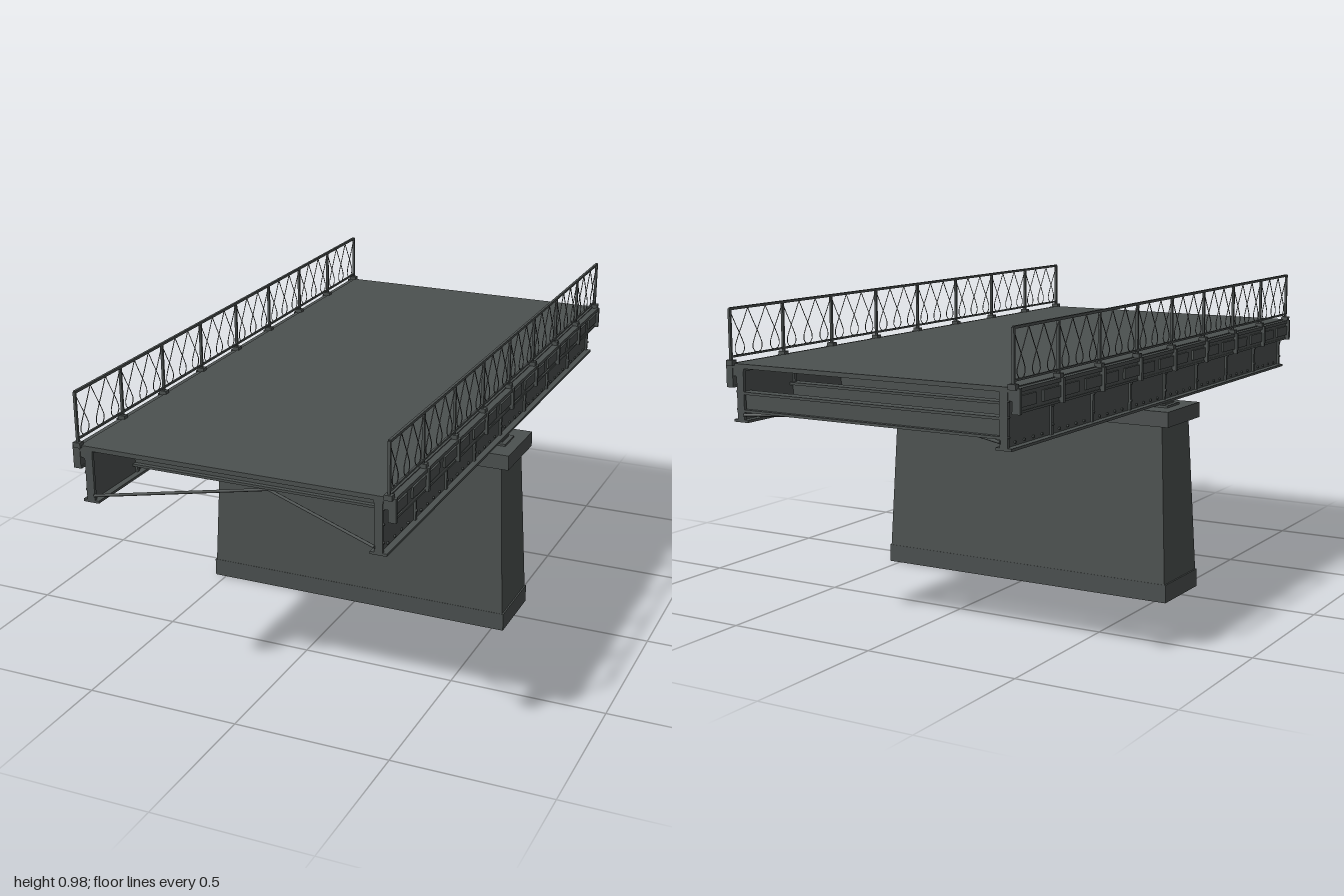
import * as THREE from 'three';

const steel = new THREE.MeshStandardMaterial({ color: 0x4c5150 });
steel.name = 'dark grey';

const END = 0.99;          // half length of the span
const BAY = END / 4;       // distance between posts
const UP = new THREE.Vector3(0, 1, 0);

function add(parent, name, geometry) {
  const mesh = new THREE.Mesh(geometry, steel);
  mesh.name = name;
  parent.add(mesh);
  return mesh;
}

// Box given by its limits on each axis
function box(parent, name, x0, x1, y0, y1, z0, z1) {
  const mesh = add(parent, name, new THREE.BoxGeometry(x1 - x0, y1 - y0, z1 - z0));
  mesh.position.set((x0 + x1) / 2, (y0 + y1) / 2, (z0 + z1) / 2);
  return mesh;
}

// Straight round bar between two points
function bar(parent, name, a, b, radius) {
  const dir = b.clone().sub(a);
  const mesh = add(parent, name, new THREE.CylinderGeometry(radius, radius, dir.length(), 6));
  mesh.position.copy(a).add(b).multiplyScalar(0.5);
  mesh.quaternion.setFromUnitVectors(UP, dir.normalize());
  return mesh;
}

// Stone pier: plinth, tapered shaft and cap
function makePier() {
  const pier = new THREE.Group();
  pier.name = 'pier';
  box(pier, 'plinth', -0.54, 0.54, 0, 0.06, -0.12, 0.12);
  const shaft = new THREE.BoxGeometry(1, 0.515, 1);
  const p = shaft.attributes.position;
  for (let i = 0; i < p.count; i++) {
    const top = p.getY(i) > 0;
    p.setX(i, Math.sign(p.getX(i)) * (top ? 0.51 : 0.535));
    p.setZ(i, Math.sign(p.getZ(i)) * (top ? 0.1 : 0.119));
  }
  shaft.computeVertexNormals();
  add(pier, 'shaft', shaft).position.y = 0.3175;
  box(pier, 'cap', -0.54, 0.54, 0.575, 0.625, -0.12, 0.12);
  return pier;
}

// Main girder with stiffeners, bolts and bearing, on the side s (+1 or -1)
function makeGirder(s) {
  const girder = new THREE.Group();
  girder.name = 'girder';
  const c = s * 0.46;
  box(girder, 'web', c - 0.006, c + 0.006, 0.64, 0.8, -END, END);
  box(girder, 'bottomFlange', c - 0.026, c + 0.026, 0.637, 0.645, -END, END);
  box(girder, 'topFlange', c - 0.014, c + 0.014, 0.792, 0.801, -END, END);
  box(girder, 'bearingPlate', c - 0.042, c + 0.042, 0.625, 0.632, -0.045, 0.045);
  box(girder, 'bearingBlock', c - 0.028, c + 0.028, 0.631, 0.638, -0.03, 0.03);

  const boltGeometry = new THREE.CylinderGeometry(0.004, 0.004, 0.006, 6).rotateZ(Math.PI / 2);
  const bolt = (x, y, z) => add(girder, 'bolt', boltGeometry).position.set(s * x, y, z);
  for (let k = -4; k <= 4; k++) {
    const z = THREE.MathUtils.clamp(k * BAY, -END + 0.005, END - 0.005);
    box(girder, 'stiffener', c - 0.013, c + 0.013, 0.645, 0.793, z - 0.005, z + 0.005);
    for (const y of [0.675, 0.73, 0.775]) bolt(0.474, y, z);
    if (k < 4) for (let i = 1; i < 5; i++) bolt(0.468, 0.655, (k + i / 5) * BAY);
  }
  return girder;
}

// Outer edge trim with raised panels
function makeFascia(s) {
  const fascia = new THREE.Group();
  fascia.name = 'fascia';
  const c = s * 0.494;
  box(fascia, 'strip', c - 0.004, c + 0.004, 0.745, 0.805, -END, END);
  box(fascia, 'topLedge', c - 0.01, c + 0.014, 0.8, 0.811, -END, END);
  box(fascia, 'lowerLip', c - 0.006, c + 0.008, 0.74, 0.747, -END, END);
  for (let k = -4; k <= 4; k++) {
    const z = k * BAY;
    const a = Math.max(z - 0.104, -END), b = Math.min(z + 0.104, END);
    const x = s * 0.5;
    box(fascia, 'panel', x - 0.004, x + 0.004, 0.757, 0.79, a, b);
    const zc = THREE.MathUtils.clamp(z, -END + 0.006, END - 0.006);
    box(fascia, 'bracket', s * 0.5 - 0.012, s * 0.5 + 0.012, 0.74, 0.812, zc - 0.006, zc + 0.006);
    box(fascia, 'tie', s * 0.48 - 0.01, s * 0.48 + 0.01, 0.776, 0.801, zc - 0.004, zc + 0.004);
  }
  return fascia;
}

// Railing with posts, rails and bent-wire loops
function makeRailing(s) {
  const railing = new THREE.Group();
  railing.name = 'railing';
  const x = s * 0.492;
  box(railing, 'topRail', x - 0.004, x + 0.004, 0.973, 0.981, -END, END);
  box(railing, 'bottomRail', x - 0.003, x + 0.003, 0.83, 0.836, -END, END);
  for (let k = -4; k <= 4; k++) {
    const z = k * BAY;
    box(railing, 'post', x - 0.004, x + 0.004, 0.81, 0.978, z - 0.004, z + 0.004);
    box(railing, 'postFoot', x - 0.012, x + 0.012, 0.808, 0.824, z - 0.01, z + 0.01);
  }
  const pitch = BAY / 3;
  const half = [[-0.5, 0.974], [-0.2, 0.93], [0.12, 0.885], [0.27, 0.855], [0.18, 0.839]];
  const outline = [...half, [0, 0.834], ...half.map(([z, y]) => [-z, y]).reverse()];
  const curve = new THREE.CatmullRomCurve3(outline.map(([z, y]) => new THREE.Vector3(0, y, z * pitch)));
  const loop = new THREE.TubeGeometry(curve, 24, 0.0016, 4);
  // The second set sits half a pitch along to make the crossing lattice
  for (let k = 0; k < 24; k++) {
    add(railing, 'wireLoop', loop).position.set(x, 0, -END + (k + 0.5) * pitch);
  }
  return railing;
}

// Cross beams and diagonal bracing under the deck
function makeUnderframe() {
  const frame = new THREE.Group();
  frame.name = 'underframe';
  for (let k = -4; k < 4; k++) {
    const z = k === -4 ? -END + 0.02 : k * BAY;
    const beam = new THREE.Group();
    beam.name = 'crossBeam';
    box(beam, 'beamWeb', -0.454, 0.454, 0.672, 0.728, z - 0.005, z + 0.005);
    box(beam, 'beamTopFlange', -0.454, 0.454, 0.722, 0.73, z - 0.02, z + 0.02);
    box(beam, 'beamBottomFlange', -0.454, 0.454, 0.668, 0.676, z - 0.02, z + 0.02);
    frame.add(beam);
  }
  for (let k = -4; k < 4; k += 2) {
    for (const s of [-1, 1]) {
      const a = new THREE.Vector3(-s * 0.45, 0.66, k * BAY);
      const b = new THREE.Vector3(s * 0.45, 0.66, (k + 2) * BAY);
      bar(frame, 'diagonalBrace', a, b, 0.005);
    }
  }
  return frame;
}

export function createModel() {
  const model = new THREE.Group();
  model.name = 'bridgeSpan';
  model.add(makePier(), makeUnderframe());
  box(model, 'deck', -0.487, 0.487, 0.8, 0.814, -END, END);
  for (const s of [-1, 1]) model.add(makeGirder(s), makeFascia(s), makeRailing(s));
  return model;
}
